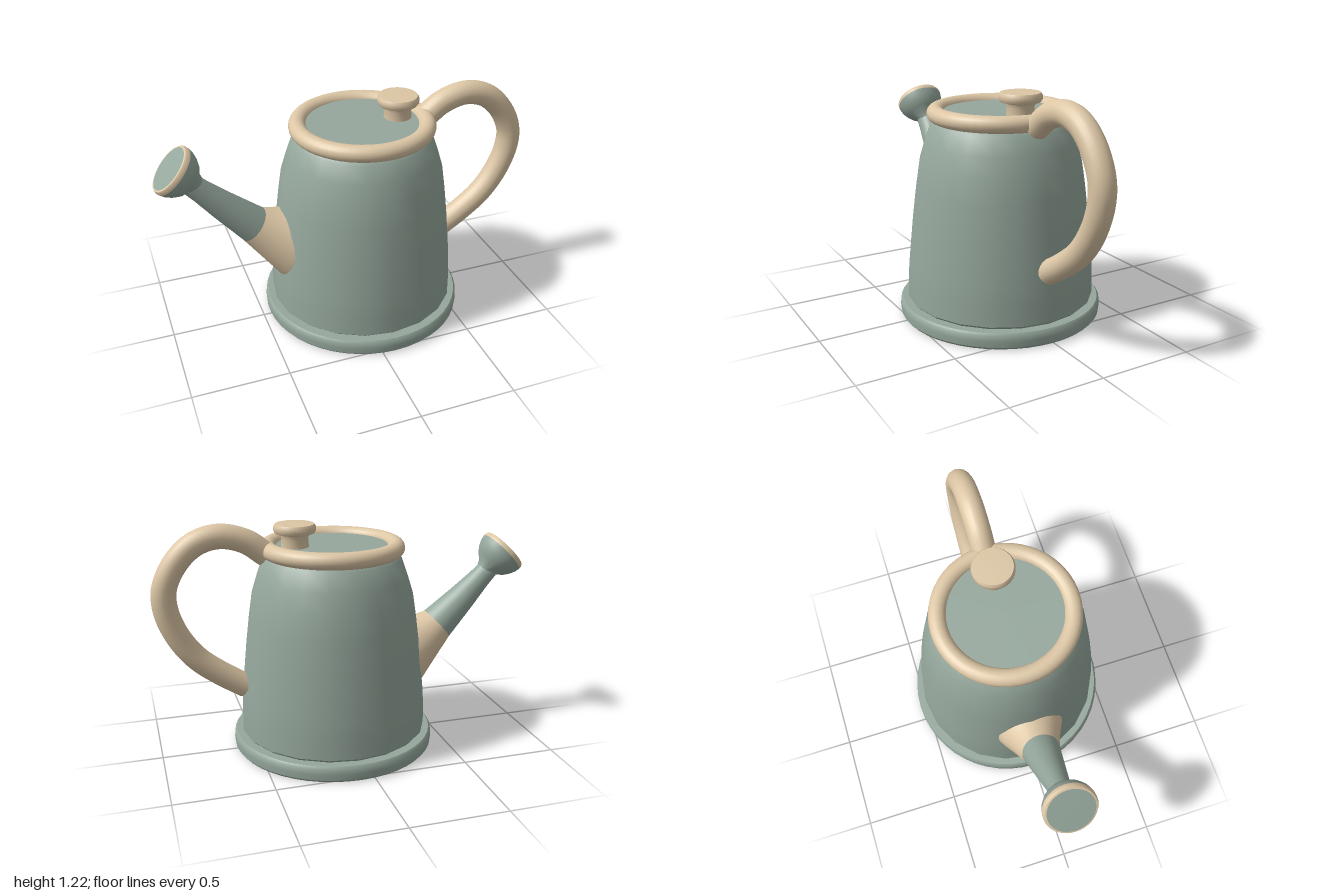
import * as THREE from 'three';
import { toCreasedNormals } from 'three/addons/utils/BufferGeometryUtils.js';

const green = new THREE.MeshStandardMaterial({ color: 0x95a79c, name: 'sage green' });
const beige = new THREE.MeshStandardMaterial({ color: 0xdcc6a5, name: 'warm beige' });
const AXIS = 0.073; // x of the body's centre line

function add(group, name, geometry, material, x = 0, y = 0, z = 0) {
  const mesh = new THREE.Mesh(geometry, material);
  mesh.name = name;
  mesh.position.set(x, y, z);
  group.add(mesh);
  return mesh;
}

// Turned part from [radius, height] pairs, listed bottom to top
function turned(profile, sides) {
  const pts = profile.map(([r, y]) => new THREE.Vector2(r, y));
  return toCreasedNormals(new THREE.LatheGeometry(pts, sides), 0.6);
}

// Skin over elliptical rings: [topX, topY, bottomX, bottomY, halfDepth]
function loft(rings, sides = 32) {
  const pos = [], index = [];
  rings.forEach(([tx, ty, bx, by, d], i) => {
    for (let j = 0; j < sides; j++) {
      const a = (j / sides) * Math.PI * 2, c = Math.cos(a) / 2;
      pos.push((tx + bx) / 2 + (tx - bx) * c, (ty + by) / 2 + (ty - by) * c, d * Math.sin(a));
      if (i === 0) continue;
      const k = (j + 1) % sides, p = (i - 1) * sides, q = i * sides;
      index.push(p + j, q + j, p + k, p + k, q + j, q + k);
    }
  });
  const g = new THREE.BufferGeometry();
  g.setAttribute('position', new THREE.Float32BufferAttribute(pos, 3));
  g.setIndex(index);
  // make sure the skin faces outwards
  g.computeVertexNormals();
  if (g.attributes.normal.getY(0) < 0) {
    g.setIndex(index.map((_, n) => index[n - (n % 3) + 2 - (n % 3)]));
    g.computeVertexNormals();
  }
  return g;
}

export function createModel() {
  const model = new THREE.Group();
  model.name = 'wateringCan';

  // Foot and body
  add(model, 'base', turned([[0, 0], [0.525, 0], [0.535, 0.012], [0.538, 0.045],
    [0.535, 0.073], [0.525, 0.085], [0, 0.085]], 48), green, AXIS);
  add(model, 'body', turned([[0.475, 0.08], [0.496, 0.1], [0.495, 0.2], [0.488, 0.3],
    [0.462, 0.55], [0.443, 0.7], [0.423, 0.83], [0.392, 0.93], [0.36, 1.02],
    [0.345, 1.035], [0, 1.035]], 20), green, AXIS);

  // Lid: rolled rim, inset disc and knob
  const rim = add(model, 'lidRim', new THREE.TorusGeometry(0.332, 0.045, 20, 48), beige, AXIS, 1.073);
  rim.rotation.x = Math.PI / 2;
  rim.scale.z = 0.95;
  add(model, 'lidDisc', new THREE.CylinderGeometry(0.31, 0.31, 0.04, 40), green, AXIS, 1.065);
  add(model, 'knob', turned([[0.073, 1.07], [0.068, 1.13], [0.075, 1.15], [0.1, 1.157],
    [0.108, 1.17], [0.108, 1.19], [0.1, 1.203], [0, 1.206]], 32), beige, 0.268);

  // Handle: closed tube
  const path = new THREE.CatmullRomCurve3([
    [0.42, 1.055], [0.52, 1.127], [0.65, 1.16], [0.77, 1.13], [0.87, 1.04], [0.933, 0.91],
    [0.93, 0.79], [0.875, 0.65], [0.79, 0.535], [0.68, 0.445], [0.545, 0.357]
  ].map(([x, y]) => new THREE.Vector3(x, y, 0)));
  add(model, 'handle', new THREE.TubeGeometry(path, 64, 0.063, 20), beige);
  for (const [t, sign] of [[0, -1], [1, 1]]) {
    const p = path.getPointAt(t), n = path.getTangentAt(t).multiplyScalar(sign);
    const cap = add(model, 'handleEnd', new THREE.CircleGeometry(0.063, 20), beige, p.x, p.y, 0);
    cap.quaternion.setFromUnitVectors(new THREE.Vector3(0, 0, 1), n);
  }

  // Spout: flared collar and tapering neck
  add(model, 'spoutCollar', loft([
    [-0.32, 0.645, -0.37, 0.25, 0.185], [-0.365, 0.652, -0.41, 0.29, 0.168],
    [-0.41, 0.66, -0.5, 0.41, 0.132], [-0.46, 0.675, -0.59, 0.53, 0.1]]), beige);
  add(model, 'spoutNeck', loft([
    [-0.46, 0.675, -0.59, 0.53, 0.1], [-0.61, 0.79, -0.725, 0.69, 0.075],
    [-0.72, 0.878, -0.813, 0.8, 0.058], [-0.79, 0.94, -0.875, 0.87, 0.05]]), green);

  // Rose: bell, coloured lip and face
  const rose = new THREE.Group();
  rose.name = 'rose';
  rose.position.set(-0.815, 0.905, 0);
  rose.quaternion.setFromUnitVectors(new THREE.Vector3(0, 1, 0),
    new THREE.Vector3(-0.735, 0.678, 0).normalize());
  add(rose, 'roseBell', turned([[0.046, -0.03], [0.06, 0], [0.092, 0.025], [0.114, 0.055],
    [0.128, 0.085], [0.133, 0.11]], 36), green);
  add(rose, 'roseLip', turned([[0.133, 0.11], [0.133, 0.125], [0.127, 0.136], [0.115, 0.138]], 36), beige);
  add(rose, 'roseFace', turned([[0.118, 0.138], [0, 0.14]], 36), green);
  model.add(rose);

  return model;
}
